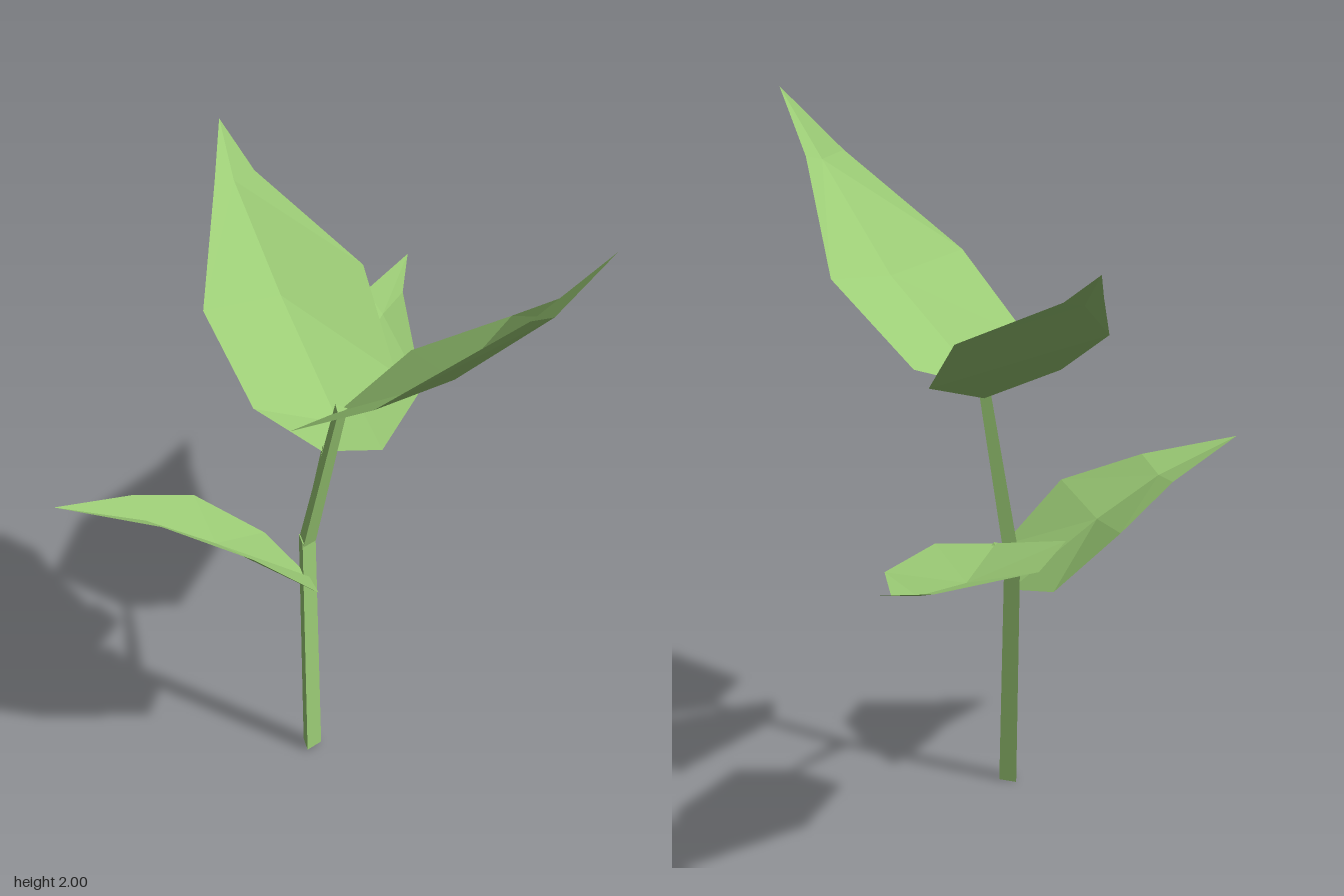
import * as THREE from 'three';

const V = (p) => new THREE.Vector3(...p);

export function createModel() {
  const green = new THREE.MeshStandardMaterial({ color: 0x9ccc76, flatShading: true, side: THREE.DoubleSide });
  green.name = 'leaf green';
  const plant = new THREE.Group();
  plant.name = 'plant';

  function add(name, geometry) {
    const mesh = new THREE.Mesh(geometry, green);
    mesh.name = name;
    plant.add(mesh);
    return mesh;
  }

  // Three-sided tapering stalk between two points
  function stalk(name, from, to, r0, r1) {
    const a = V(from), b = V(to), dir = b.clone().sub(a);
    const mesh = add(name, new THREE.CylinderGeometry(r1, r0, dir.length(), 3, 1, false, -0.28));
    mesh.position.copy(a).add(b).multiplyScalar(0.5);
    mesh.quaternion.setFromUnitVectors(new THREE.Vector3(0, 1, 0), dir.normalize());
  }

  // Folded leaf: two three-point edges around a sunken midrib
  function leaf(name, { base, tip, rib, left, right }) {
    const points = [];
    const half = (edge, flip) => {
      const [e1, e2, e3] = edge, [m2, m3] = rib;
      const faces = [[base, m2, e1], [e1, m2, e2], [e2, m2, m3], [e2, m3, e3], [e3, m3, tip]];
      for (const [a, b, c] of faces) points.push(...a, ...(flip ? c : b), ...(flip ? b : c));
    };
    half(left, false);
    half(right, true);
    const geometry = new THREE.BufferGeometry();
    geometry.setAttribute('position', new THREE.Float32BufferAttribute(points, 3));
    geometry.computeVertexNormals();
    add(name, geometry);
  }

  // Stem with a slight bend, and the side stalk
  stalk('lowerStem', [-0.027, 0, 0.292], [-0.04, 0.73, 0.262], 0.031, 0.028);
  stalk('upperStem', [-0.04, 0.71, 0.26], [0.055, 1.24, 0.37], 0.027, 0.02);
  stalk('sideStalk', [-0.035, 0.73, 0.255], [0.005, 0.847, -0.01], 0.024, 0.008);

  leaf('tallLeaf', {
    base: [0.05, 1.21, 0.34], tip: [0.69, 2, 0.83],
    rib: [[0.34, 1.48, 0.585], [0.56, 1.79, 0.78]],
    left: [[0.24, 1.3, 0.18], [0.49, 1.52, 0.35], [0.6, 1.81, 0.71]],
    right: [[-0.07, 1.3, 0.56], [0.14, 1.52, 0.78], [0.5, 1.81, 0.83]],
  });
  leaf('upperBackLeaf', {
    base: [0.05, 1.175, 0.34], tip: [-0.29, 1.7, -0.36],
    rib: [[-0.11, 1.38, 0.04], [-0.245, 1.585, -0.22]],
    left: [[-0.17, 1.25, 0.39], [-0.31, 1.41, 0.17], [-0.295, 1.6, -0.18]],
    right: [[0.2, 1.24, 0.2], [0.11, 1.43, -0.04], [-0.19, 1.6, -0.25]],
  });
  leaf('lowerBackLeaf', {
    base: [0, 0.845, 0.01], tip: [0.245, 0.99, -0.83],
    rib: [[0.06, 0.855, -0.35], [0.17, 0.91, -0.61]],
    left: [[-0.2, 0.9, -0.12], [-0.135, 0.91, -0.41], [0.12, 0.945, -0.69]],
    right: [[0.17, 0.845, 0], [0.285, 0.86, -0.29], [0.23, 0.94, -0.69]],
  });
  leaf('lowerSideLeaf', {
    base: [-0.03, 0.61, 0.28], tip: [-0.69, 1.02, 0.52],
    rib: [[-0.28, 0.8, 0.38], [-0.46, 0.92, 0.44]],
    left: [[0, 0.69, 0.45], [-0.17, 0.87, 0.54], [-0.41, 0.96, 0.52]],
    right: [[-0.16, 0.655, 0.14], [-0.35, 0.82, 0.19], [-0.5, 0.93, 0.34]],
  });

  return plant;
}
